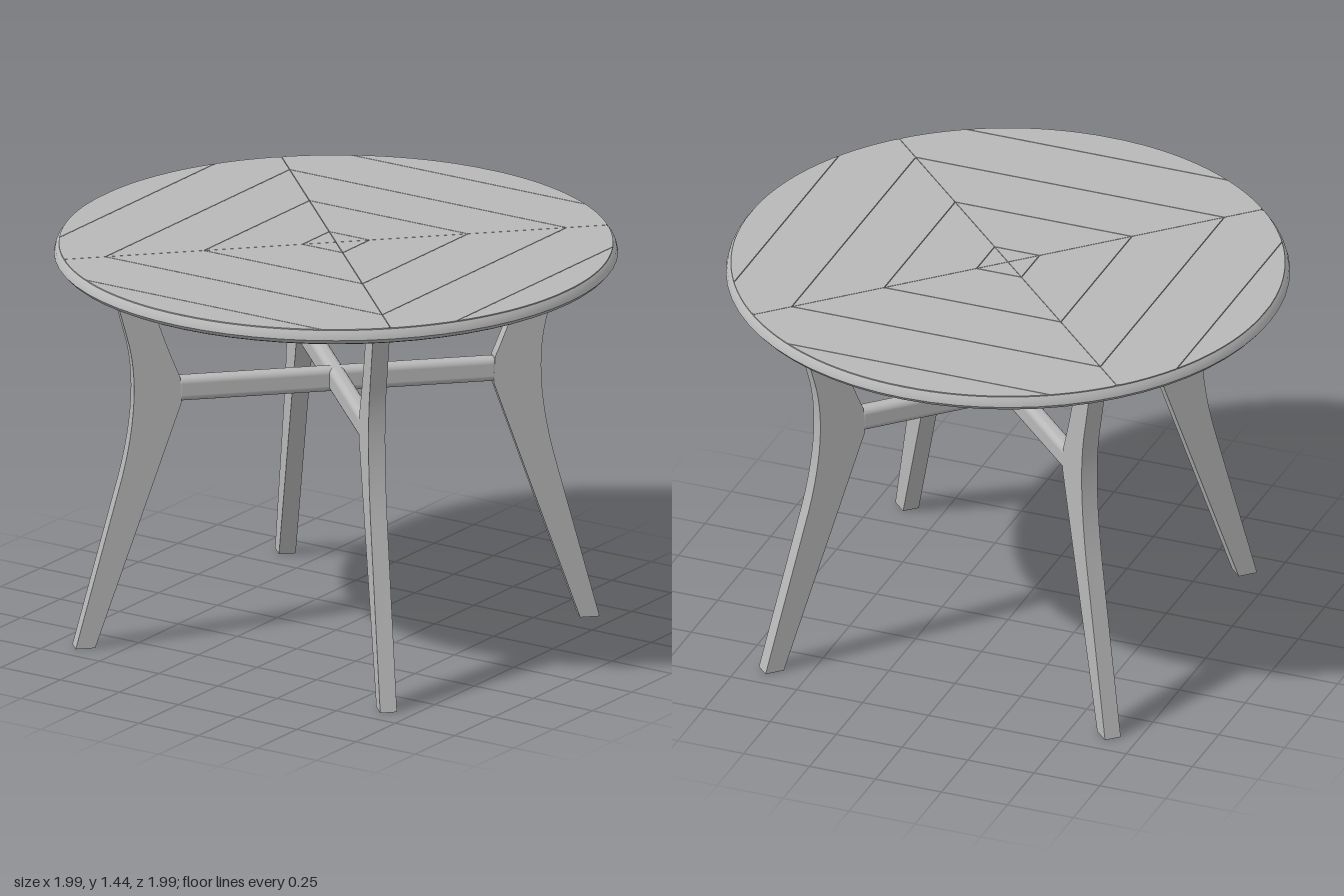
import * as THREE from 'three';
import { toCreasedNormals } from 'three/addons/utils/BufferGeometryUtils.js';
import { RoundedBoxGeometry } from 'three/addons/geometries/RoundedBoxGeometry.js';

const grey = new THREE.MeshStandardMaterial({ color: 0xb8b8b8 });
grey.name = 'plain grey';

function part(name, geometry, parent) {
  const mesh = new THREE.Mesh(geometry, grey);
  mesh.name = name;
  parent.add(mesh);
  return mesh;
}

// Round slab with a softly pointed rim
function slabGeometry() {
  const profile = [[0, 1.38], [0.965, 1.38], [0.98, 1.387], [0.993, 1.402], [0.988, 1.42], [0.975, 1.434], [0, 1.434]]
    .map(([r, y]) => new THREE.Vector2(r, y));
  return toCreasedNormals(new THREE.LatheGeometry(profile, 64), 0.7);
}

// Board of one quarter of the top, mitred on the diagonals and cut by the rim
function boardGeometry(from, to) {
  const radius = 0.975, gap = 0.0015, steps = 20;
  const right = [];
  for (let i = 0; i <= steps; i++) {
    const d = from + gap + (to - from - 2 * gap) * i / steps;
    const half = Math.min(d - gap, Math.sqrt(Math.max(radius * radius - d * d, 0)));
    right.push(new THREE.Vector2(Math.max(half, 0.0005), d));
  }
  const left = right.map(p => new THREE.Vector2(-p.x, p.y)).reverse();
  const geometry = new THREE.ExtrudeGeometry(new THREE.Shape([...right, ...left]), { depth: 0.004, bevelEnabled: false });
  return geometry.rotateX(-Math.PI / 2).translate(0, 1.434, 0);
}

// Bent leg drawn in the plane of its radius (r, y)
function legGeometry() {
  const thickness = 0.06;
  const s = new THREE.Shape();
  s.moveTo(0.87, 0);
  s.lineTo(0.94, 0);
  s.lineTo(0.775, 0.62);
  s.bezierCurveTo(0.725, 0.82, 0.715, 1.0, 0.755, 1.14);
  s.lineTo(0.82, 1.385);
  s.lineTo(0.70, 1.385);
  s.quadraticCurveTo(0.645, 1.17, 0.565, 0.985);
  s.lineTo(0.56, 0.89);
  s.closePath();
  const geometry = new THREE.ExtrudeGeometry(s, { depth: thickness, bevelEnabled: false, curveSegments: 12 });
  return toCreasedNormals(geometry.translate(0, 0, -thickness / 2), 0.35);
}

export function createModel() {
  const table = new THREE.Group();
  table.name = 'round table';

  // Top
  const top = new THREE.Group();
  top.name = 'tableTop';
  table.add(top);
  part('slab', slabGeometry(), top);
  const seams = [0, 0.085, 0.335, 0.585, 0.84, 0.975];
  const boards = seams.slice(1).map((d, i) => boardGeometry(seams[i], d));

  // Four legs on the diagonals, with an apron rail and a quarter of boards each
  const leg = legGeometry();
  const apron = new RoundedBoxGeometry(1.0, 0.092, 0.05, 4, 0.018);
  for (let k = 0; k < 4; k++) {
    const turn = k * Math.PI / 2;
    boards.forEach(b => { part('board', b, top).rotation.y = turn; });
    part('leg', leg, table).rotation.y = turn + Math.PI / 4;
    const side = new THREE.Group();
    side.name = 'apronSide';
    side.rotation.y = turn;
    table.add(side);
    part('apronRail', apron, side).position.set(0, 1.336, 0.49);
  }

  // Crossed stretchers joining opposite legs at the knee
  const stretcher = new RoundedBoxGeometry(1.16, 0.09, 0.06, 4, 0.024);
  for (const angle of [Math.PI / 4, -Math.PI / 4]) {
    const bar = part('stretcher', stretcher, table);
    bar.position.y = 0.936;
    bar.rotation.y = angle;
  }
  return table;
}
